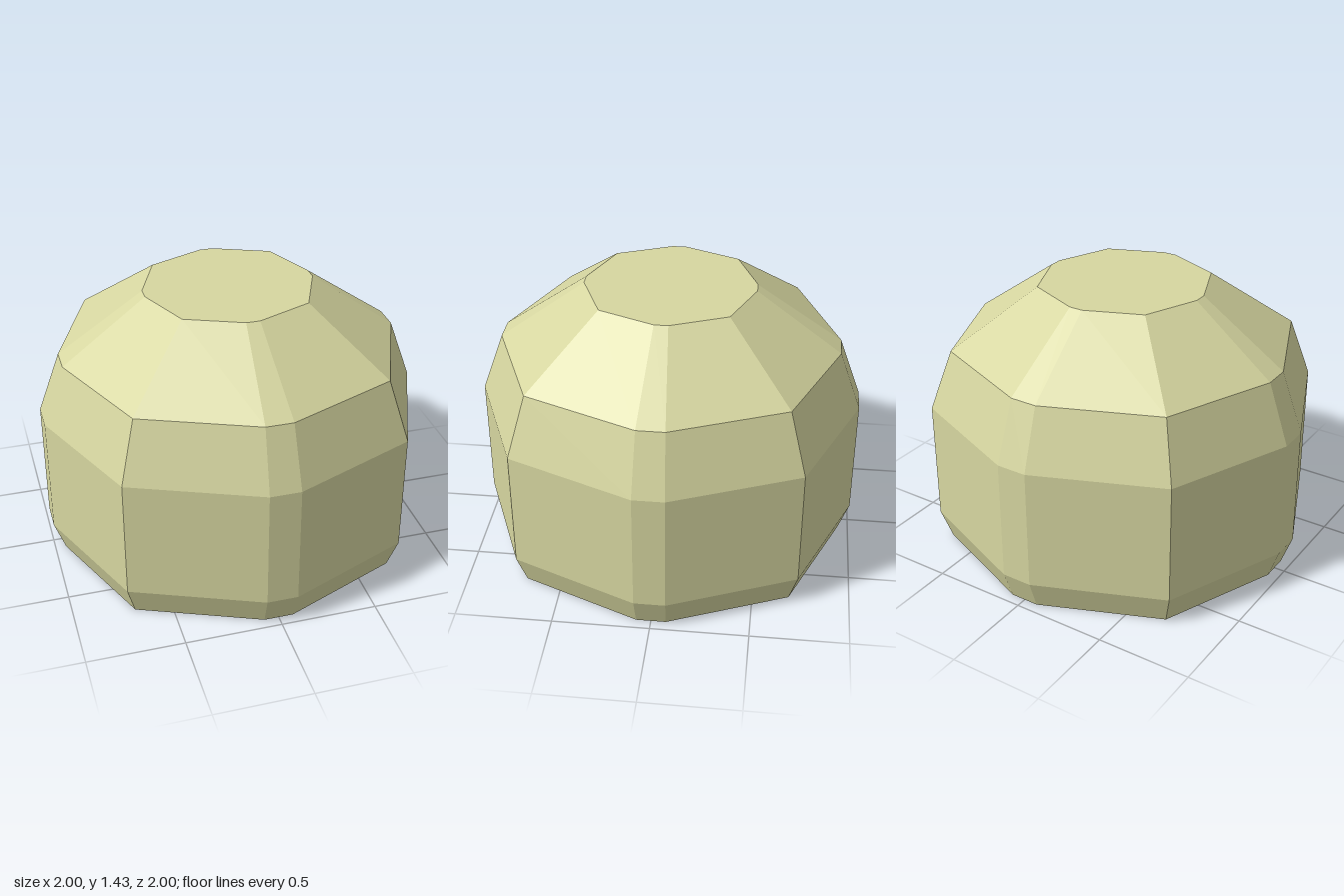
import * as THREE from 'three';

// Twelve-sided outline: four diagonal corners and four narrow bevels
function outline() {
  const points = [];
  for (let q = 0; q < 4; q++) {
    const c = Math.round(Math.cos(q * Math.PI / 2));
    const s = Math.round(Math.sin(q * Math.PI / 2));
    for (const [x, z] of [[1, -0.08], [1, 0.08], [0.73, 0.73]]) {
      points.push([x * c - z * s, x * s + z * c]);
    }
  }
  return points;
}

// Surface through scaled copies of the outline; each ring is [height, scale]
function loft(rings, points) {
  const positions = [];
  const at = (ring, i) => {
    const [x, z] = points[i % points.length];
    return [x * ring[1], ring[0], z * ring[1]];
  };
  for (let r = 0; r < rings.length - 1; r++) {
    for (let i = 0; i < points.length; i++) {
      const a = at(rings[r], i), b = at(rings[r], i + 1);
      const c = at(rings[r + 1], i + 1), d = at(rings[r + 1], i);
      positions.push(...a, ...c, ...b, ...a, ...d, ...c);
    }
  }
  const geometry = new THREE.BufferGeometry();
  geometry.setAttribute('position', new THREE.Float32BufferAttribute(positions, 3));
  geometry.computeVertexNormals();
  return geometry;
}

export function createModel() {
  const group = new THREE.Group();
  group.name = 'hollowDome';
  const material = new THREE.MeshStandardMaterial({
    name: 'pale olive', color: 0xd6d6a0, flatShading: true, side: THREE.DoubleSide,
  });
  const points = outline();
  const topHeight = 1.433, topScale = 0.442;

  // Faceted wall, open underneath
  const wall = new THREE.Mesh(
    loft([[0, 0.943], [0.16, 1], [0.8, 1], [1.117, 0.885], [topHeight, topScale]], points),
    material,
  );
  wall.name = 'wall';

  // Flat cap closing the top
  const shape = new THREE.Shape(points.map(([x, z]) => new THREE.Vector2(x * topScale, -z * topScale)));
  const cap = new THREE.Mesh(new THREE.ShapeGeometry(shape).rotateX(-Math.PI / 2), material);
  cap.name = 'topCap';
  cap.position.y = topHeight;

  group.add(wall, cap);
  return group;
}
